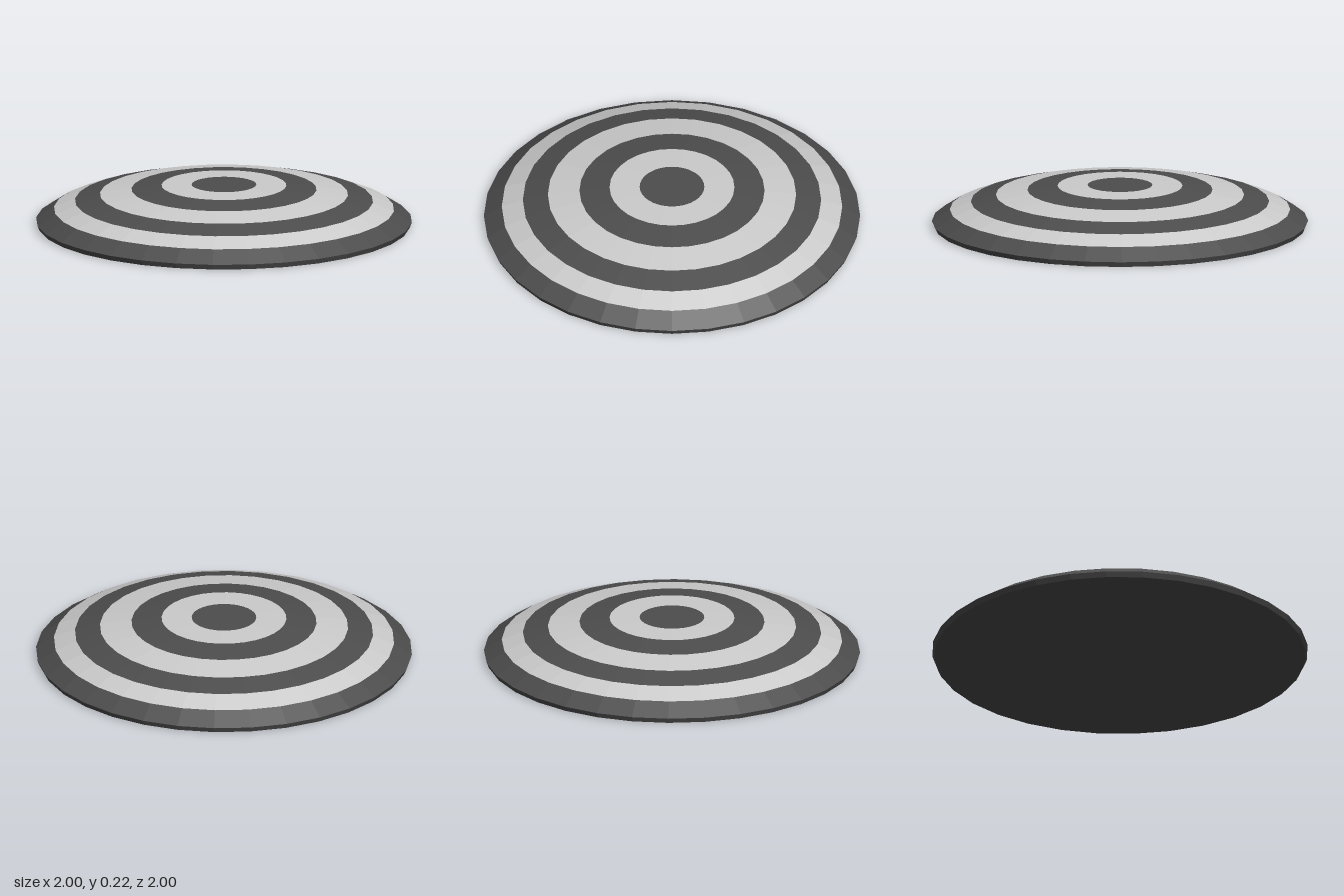
import * as THREE from 'three';

const SIDES = 32;

export function createModel() {
  const model = new THREE.Group();
  model.name = 'stripedDisc';

  const dark = new THREE.MeshStandardMaterial({ color: 0x4d4d4d, flatShading: true });
  const light = new THREE.MeshStandardMaterial({ color: 0xcccccc, flatShading: true });

  // Revolve a profile that runs from the underside up and inwards
  function addLathe(name, profile, material) {
    const points = profile.map(([r, y]) => new THREE.Vector2(r, y));
    const mesh = new THREE.Mesh(new THREE.LatheGeometry(points, SIDES), material);
    mesh.name = name;
    model.add(mesh);
  }

  // Flat underside with a low, slightly flared rim
  addLathe('base', [[0, 0], [0.988, 0], [1, 0.028]], dark);

  // Shallow dome: radius and height of each ring boundary, outside to centre
  const dome = [
    [1, 0.028], [0.905, 0.09], [0.793, 0.134], [0.66, 0.17],
    [0.492, 0.197], [0.332, 0.219], [0.172, 0.223], [0, 0.223],
  ];

  // Alternating dark and light rings, ending in the dark centre
  for (let i = 0; i < dome.length - 1; i++) {
    const name = i === dome.length - 2 ? 'centreDisc' : `ring${i + 1}`;
    addLathe(name, [dome[i], dome[i + 1]], i % 2 ? light : dark);
  }

  return model;
}
